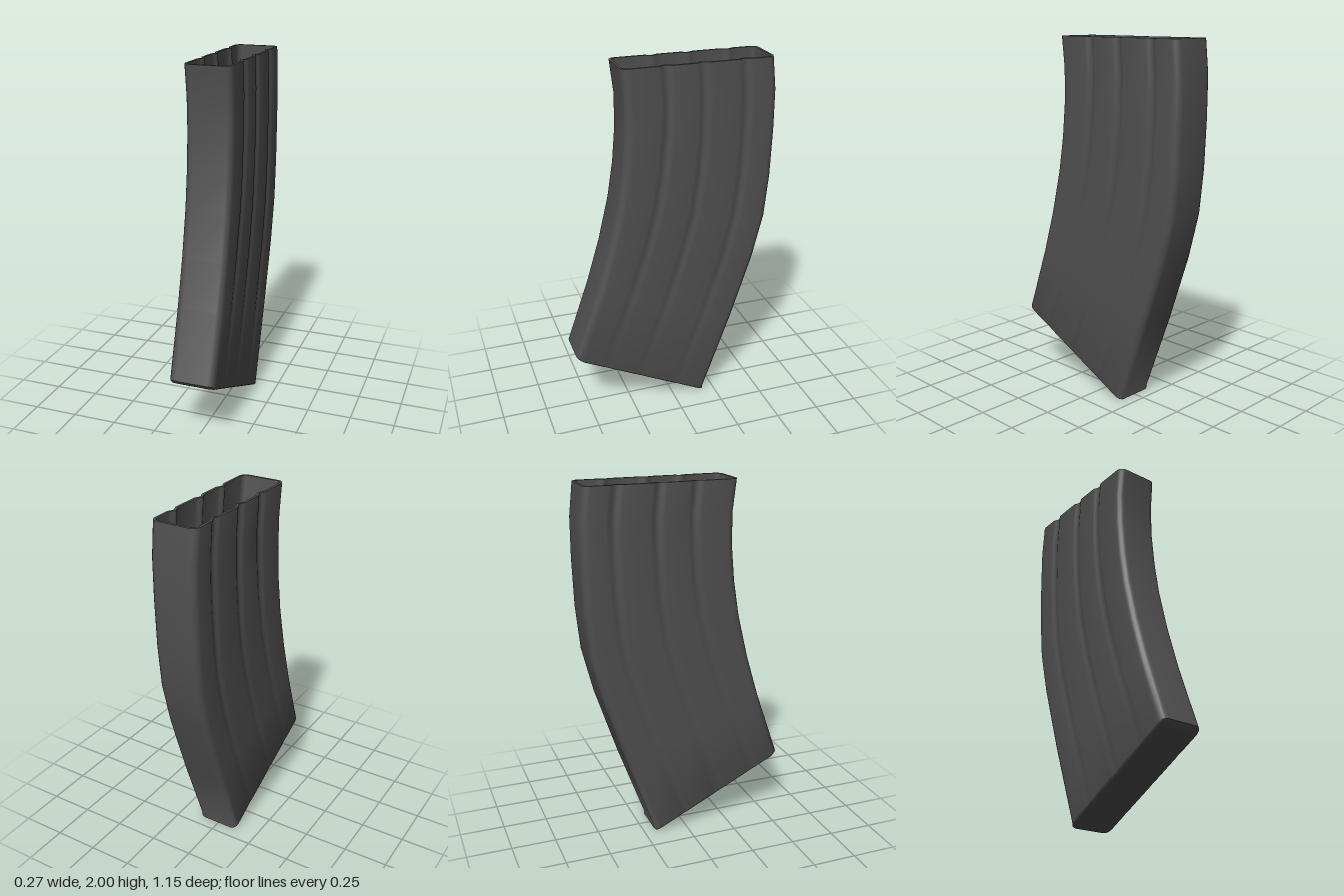
import * as THREE from 'three';
import { toCreasedNormals } from 'three/addons/utils/BufferGeometryUtils.js';

const { lerp } = THREE.MathUtils;
const HALF_WIDTH = 0.1275;
const CORNER = 0.04;
const GROOVE = { halfWidth: 0.04, depthTop: 0.015, depthBottom: 0.002 };
const GROOVES_TOP = [0.28, 0.52, 0.795];
const GROOVES_BOTTOM = [0.22, 0.48, 0.775];

// One closed cross-section between a front and a back point [z, y];
// t is 0 at the bottom and 1 at the top.
function section(front, back, t, inset = 0) {
  const f = new THREE.Vector2(...front);
  const dir = new THREE.Vector2(...back).sub(f);
  const length = dir.length();
  dir.normalize();
  const hw = HALF_WIDTH - inset;
  const r = Math.max(CORNER - inset, 0.02);

  // quarter-round corners, as [distance from the end, half width]
  const corner = [0, 1, 2, 3, 4, 5].map((i) => {
    const a = (i / 5) * Math.PI / 2;
    return [inset + r * (1 - Math.cos(a)), hw - r * (1 - Math.sin(a))];
  });

  // soft grooves that fade out towards the bottom
  const depth = lerp(GROOVE.depthBottom, GROOVE.depthTop, t);
  const flank = [];
  GROOVES_TOP.forEach((top, g) => {
    const centre = lerp(GROOVES_BOTTOM[g], top, t) * length;
    for (let i = -4; i <= 4; i++) {
      const dent = depth * (0.5 + 0.5 * Math.cos(i / 4 * Math.PI));
      flank.push([centre + i / 4 * GROOVE.halfWidth, hw - dent]);
    }
  });
  const backCorner = corner.map(([u, x]) => [length - u, x]).reverse();
  const side = [...corner, ...flank, ...backCorner];

  // mirror the flank to close the outline, with a slight sideways lean
  const lean = lerp(0.003, -0.008, t);
  const mirrored = side.map(([u, x]) => [u, -x]).reverse();
  return [...side, ...mirrored].map(([u, x]) =>
    new THREE.Vector3(x + lean, f.y + dir.y * u, f.x + dir.x * u));
}

// Skin a list of sections, optionally capping either end.
function loft(rings, capStart, capEnd) {
  const n = rings[0].length;
  const points = rings.flat();
  const index = [];
  for (let i = 0; i < rings.length - 1; i++) {
    for (let j = 0; j < n; j++) {
      const a = i * n + j, b = i * n + (j + 1) % n;
      index.push(a, b, b + n, a, b + n, a + n);
    }
  }
  const cap = (ring, flip) => {
    const centre = new THREE.Vector3();
    rings[ring].forEach((p) => centre.addScaledVector(p, 1 / n));
    const c = points.push(centre) - 1;
    for (let j = 0; j < n; j++) {
      const a = ring * n + j, b = ring * n + (j + 1) % n;
      index.push(c, flip ? b : a, flip ? a : b);
    }
  };
  if (capStart) cap(0, true);
  if (capEnd) cap(rings.length - 1, false);
  const geometry = new THREE.BufferGeometry().setFromPoints(points);
  geometry.setIndex(index);
  return toCreasedNormals(geometry, 0.75);
}

export function createModel() {
  const group = new THREE.Group();
  group.name = 'curvedCase';
  const material = new THREE.MeshStandardMaterial({ color: 0x505050 });
  const add = (name, geometry) => {
    const mesh = new THREE.Mesh(geometry, material);
    mesh.name = name;
    group.add(mesh);
  };

  // curved outer shell: front and back edge points, bottom to top
  const rows = [
    [[0.45, 0.75], [-0.35, 0.47]],
    [[0.375, 1.0], [-0.475, 0.85]],
    [[0.315, 1.25], [-0.537, 1.1]],
    [[0.283, 1.45], [-0.561, 1.34]],
    [[0.265, 1.65], [-0.57, 1.6]],
    [[0.265, 1.83], [-0.57, 1.82]],
    [[0.285, 2], [-0.55, 2]],
  ];
  // rounded edge around the closed bottom: [inset, height above the base]
  const bevel = [[0.025, 0], [0.012, 0.003], [0.003, 0.012], [0, 0.025]];
  const base = bevel.map(([inset, h]) => section(
    [0.567 + h * 0.43, 0.363 + h * 0.9], [-0.195 + h * 0.43, -0.008 + h * 0.9], 0, inset));
  const body = rows.map(([f, b]) => section(f, b, (f[1] - 0.36) / 1.64));
  add('outerShell', loft([...base, ...body], true, false));

  // thin rim, inner walls and inner floor of the open top
  const wall = 0.014;
  const rim = body[body.length - 1];
  add('innerWell', loft([
    rim,
    section([0.285, 2], [-0.55, 2], 1, wall),
    section([0.257, 1.8], [-0.56, 1.8], 1, wall),
    section([0.234, 1.6], [-0.565, 1.6], 1, wall),
  ], false, true));

  return group;
}
